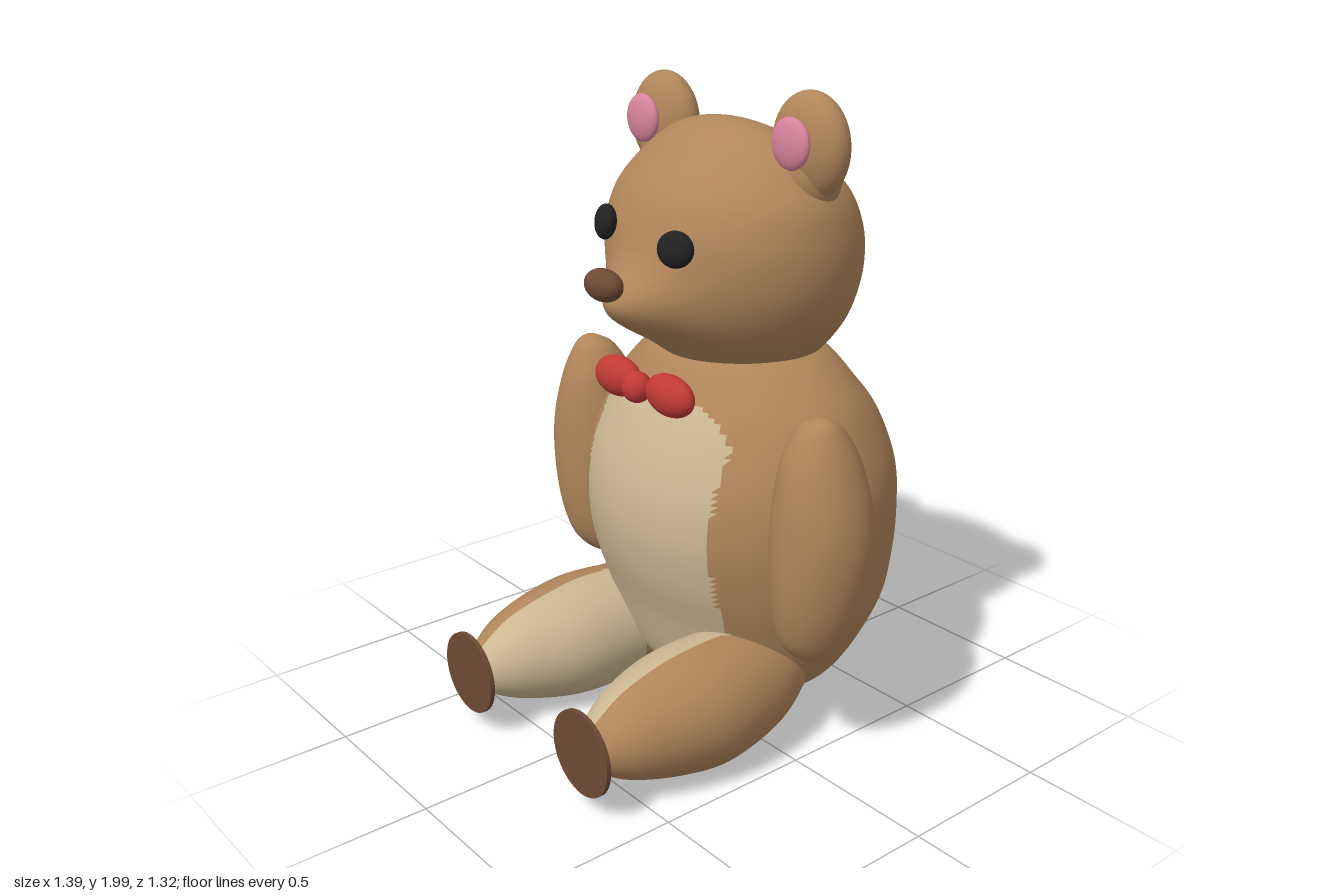
import * as THREE from 'three';
import { mergeVertices } from 'three/addons/utils/BufferGeometryUtils.js';

const material = (name, color) => Object.assign(new THREE.MeshStandardMaterial({ color }), { name });

// Smooth closed skin through elliptical sections.
// Each row is [position along axis, x low, x high, other low, other high].
function loft(axis, rows, steps = 64, sides = 80) {
  const xs = new THREE.CatmullRomCurve3(rows.map((r) => new THREE.Vector3(r[0], r[1], r[2])), false, 'catmullrom', 0.5);
  const vs = new THREE.CatmullRomCurve3(rows.map((r) => new THREE.Vector3(r[0], r[3], r[4])), false, 'catmullrom', 0.5);
  const pos = [], index = [];
  for (let i = 0; i <= steps; i++) {
    const p = xs.getPoint(i / steps), q = vs.getPoint(i / steps);
    for (let j = 0; j < sides; j++) {
      const a = (j / sides) * Math.PI * 2;
      const x = (p.y + p.z) / 2 + Math.cos(a) * (p.z - p.y) / 2;
      const s = Math.sin(a) * (q.z - q.y) / 2, c = (q.y + q.z) / 2;
      if (axis === 'y') pos.push(x, p.x, c + s);
      else pos.push(x, c - s, p.x);
      if (i === steps) continue;
      const k = (j + 1) % sides;
      const A = i * sides + j, B = i * sides + k, C = A + sides, D = B + sides;
      if (i > 0) index.push(A, C, B);
      if (i < steps - 1) index.push(B, C, D);
      else if (i === steps - 1) index.push(A, C, B);
      if (i === 0 && steps === 1) index.push(A, C, B);
    }
  }
  const g = new THREE.BufferGeometry();
  g.setAttribute('position', new THREE.Float32BufferAttribute(pos, 3));
  g.setIndex(index);
  const merged = mergeVertices(g, 1e-5);
  merged.computeVertexNormals();
  return merged;
}

// Sort faces into two colour groups: fur, and the pale patch on belly and inner legs
function addPatch(g) {
  const p = g.attributes.position, idx = g.index.array, fur = [], pale = [];
  for (let i = 0; i < idx.length; i += 3) {
    const t = [idx[i], idx[i + 1], idx[i + 2]];
    const mid = (get) => t.reduce((sum, v) => sum + get(v), 0) / 3;
    const x = mid((v) => p.getX(v)), y = mid((v) => p.getY(v)), z = mid((v) => p.getZ(v));
    (Math.abs(x) < 0.3 && z > 0.1 && y < 1.09 ? pale : fur).push(...t);
  }
  g.setIndex([...fur, ...pale]);
  g.addGroup(0, fur.length, 0);
  g.addGroup(fur.length, pale.length, 1);
  return g;
}

export function createModel() {
  const model = new THREE.Group();
  model.name = 'teddyBear';
  const fur = material('brownFur', 0xb0855a);
  const cream = material('creamFur', 0xcbb691);
  const leather = material('darkBrown', 0x6e4934);
  const pink = material('pink', 0xd8849c);
  const black = material('black', 0x222222);
  const red = material('red', 0xc23a36);

  const add = (name, geometry, mat) => {
    const mesh = new THREE.Mesh(geometry, mat);
    mesh.name = name;
    model.add(mesh);
    return mesh;
  };
  const ball = (name, mat, center, radii) => {
    const mesh = add(name, new THREE.SphereGeometry(1, 32, 24), mat);
    mesh.position.set(...center);
    mesh.scale.set(...radii);
    return mesh;
  };
  const symmetric = (rows) => rows.map(([y, w, back, front]) => [y, -w, w, back, front]);
  const mirrored = (rows, s) => (s > 0 ? rows : rows.map(([t, a, b, c, d]) => [t, -b, -a, c, d]));

  // Body
  add('body', addPatch(loft('y', symmetric([
    [0.055, 0, -0.2, -0.2], [0.065, 0.14, -0.3, -0.08], [0.1, 0.28, -0.38, 0],
    [0.2, 0.4, -0.5, 0.12], [0.4, 0.5, -0.61, 0.19], [0.55, 0.53, -0.65, 0.24],
    [0.7, 0.54, -0.66, 0.26], [0.85, 0.53, -0.645, 0.24], [1.0, 0.48, -0.585, 0.18],
    [1.1, 0.42, -0.51, 0.12], [1.2, 0.3, -0.43, 0.05], [1.24, 0.15, -0.3, -0.08], [1.26, 0, -0.19, -0.19],
  ]), 96, 120)), [fur, cream]);

  // Head, with the muzzle pushed forward
  const head = loft('y', symmetric([
    [1.12, 0, -0.2, -0.2], [1.16, 0.2, -0.36, -0.02], [1.2, 0.27, -0.43, 0.05],
    [1.3, 0.36, -0.49, 0.14], [1.4, 0.41, -0.515, 0.185], [1.5, 0.43, -0.525, 0.2],
    [1.6, 0.425, -0.51, 0.19], [1.7, 0.395, -0.455, 0.14], [1.8, 0.31, -0.345, 0.04],
    [1.86, 0.21, -0.25, -0.03], [1.89, 0.1, -0.18, -0.08], [1.898, 0, -0.13, -0.13],
  ]));
  const hp = head.attributes.position;
  for (let i = 0; i < hp.count; i++) {
    const x = hp.getX(i), y = hp.getY(i), z = hp.getZ(i);
    if (z > -0.1) hp.setZ(i, z + 0.13 * Math.exp(-((x / 0.15) ** 2) - ((y - 1.38) / 0.11) ** 2));
  }
  head.computeVertexNormals();
  add('head', head, fur);
  ball('nose', leather, [0, 1.46, 0.325], [0.074, 0.048, 0.045]);

  // Eyes, turned to follow the face
  for (const [name, x, y] of [['rightEye', -0.162, 1.6], ['leftEye', 0.165, 1.573]]) {
    ball(name, black, [x, y, 0.195], [0.056, 0.053, 0.032]).rotation.set(-0.15, Math.sign(x) * 0.45, 0);
  }

  // Bow tie
  ball('bowKnot', red, [0, 1.13, 0.21], [0.046, 0.048, 0.046]);

  for (const s of [1, -1]) {
    const side = s > 0 ? 'left' : 'right';
    ball(side + 'BowLoop', red, [s * 0.125, 1.13, 0.185], [0.098, 0.063, 0.05]).rotation.z = -s * 0.04;

    // Ears
    ball(side + 'Ear', fur, [s * 0.325, 1.845, -0.165], [0.14, 0.155, 0.076]);
    ball(side + 'EarRoot', fur, [s * 0.31, 1.75, -0.175], [0.1, 0.14, 0.09]).rotation.z = -s * 0.4;
    ball(side + 'InnerEar', pink, [s * 0.332, 1.86, -0.08], [0.073, 0.074, 0.026]);

    // Arms
    add(side + 'Arm', loft('y', mirrored([
      [0.358, 0.52, 0.52, -0.03, -0.03], [0.375, 0.45, 0.58, -0.09, 0.02], [0.44, 0.42, 0.625, -0.145, 0.075],
      [0.56, 0.4, 0.67, -0.18, 0.105], [0.72, 0.39, 0.695, -0.195, 0.115], [0.86, 0.4, 0.685, -0.185, 0.11],
      [1.0, 0.425, 0.645, -0.15, 0.085], [1.09, 0.47, 0.605, -0.095, 0.045], [1.12, 0.51, 0.58, -0.05, 0.01],
      [1.13, 0.55, 0.55, -0.02, -0.02],
    ], s)), fur);

    // Legs
    add(side + 'Leg', addPatch(loft('z', mirrored([
      [-0.3, 0.26, 0.26, 0.22, 0.22], [-0.27, 0.19, 0.31, 0.17, 0.28], [-0.15, 0.14, 0.39, 0.1, 0.35],
      [0, 0.11, 0.46, 0.04, 0.385], [0.2, 0.1, 0.498, 0.01, 0.4], [0.35, 0.11, 0.485, 0.025, 0.385],
      [0.5, 0.16, 0.44, 0.065, 0.345], [0.59, 0.21, 0.39, 0.11, 0.29], [0.63, 0.25, 0.35, 0.15, 0.25],
      [0.645, 0.3, 0.3, 0.2, 0.2],
    ], s))), [fur, cream]);

    // Flat foot pads
    const pad = add(side + 'FootPad', new THREE.CylinderGeometry(0.131, 0.131, 0.014, 40), leather);
    pad.rotation.x = Math.PI / 2;
    pad.position.set(s * 0.3, 0.202, 0.654);
  }
  return model;
}
